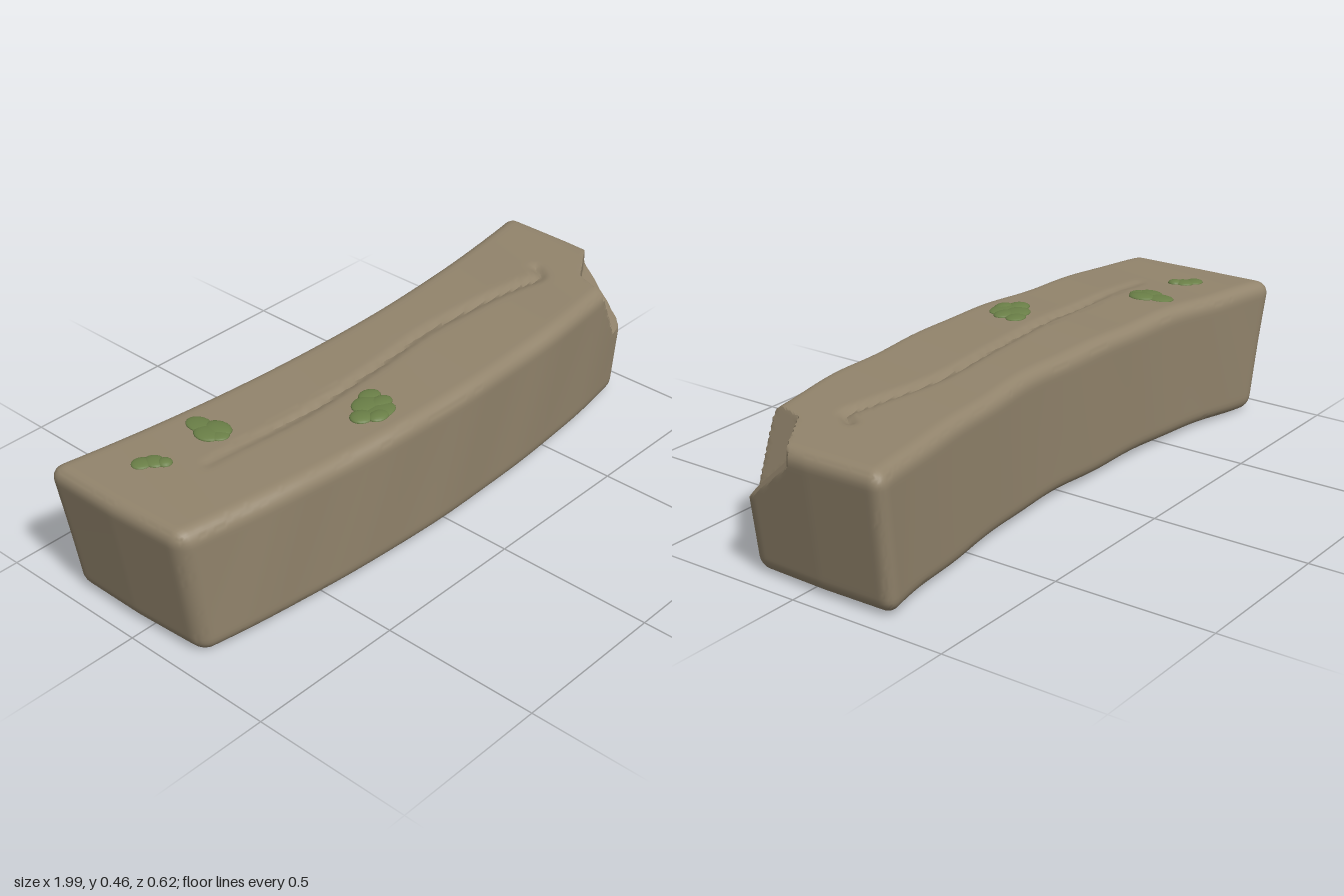
import * as THREE from 'three';
import { toCreasedNormals } from 'three/addons/utils/BufferGeometryUtils.js';

const LENGTH = 2, HEIGHT = 0.43, DEPTH = 0.52, EDGE = 0.045;

// gentle bow along the length, slight crown, and hand-hewn waviness
const bow = (x) => 0.05 - 0.108 * x * x;
const crown = (x) => 0.014 * (1 - x * x);
const wave = (x, y, z) =>
  0.0022 * (Math.sin(9 * x + 5 * z + 1) + Math.sin(17 * x - 7 * y + 3 * z) * 0.7);

// crack running along the top
const crack = new THREE.SplineCurve([
  [-0.7, 0.015], [-0.5, 0.03], [-0.25, 0.037], [0, 0.02], [0.25, -0.003],
  [0.45, 0.002], [0.62, 0.022], [0.72, 0.035], [0.76, -0.01],
].map(([x, z]) => new THREE.Vector2(x, z))).getPoints(120);

function crackDepth(x, z) {
  let d = Infinity;
  for (const p of crack) d = Math.min(d, Math.hypot(p.x - x, p.y - z));
  const fade = THREE.MathUtils.smoothstep(x, -0.75, -0.3);
  return (0.005 + 0.008 * fade) * Math.exp(-((d / 0.016) ** 2));
}

// three planes meeting in the broken corner
const V = (x, y, z) => new THREE.Vector3(x, y, z);
const chipInner = V(0.865, 0.36, 0.09), chipTop = V(0.82, 0.43, 0.12);
const chipEnd = V(0.995, 0.38, 0.007), chipFront = V(0.88, 0.245, 0.21);
const chipPlanes = [[chipTop, chipFront], [chipTop, chipEnd], [chipEnd, chipFront]].map(([a, b]) => {
  const plane = new THREE.Plane().setFromCoplanarPoints(chipInner, a, b);
  return plane.distanceToPoint(V(1, 0.43, 0.2)) < 0 ? plane.negate() : plane;
});
const chipCore = V(0.7, 0.2, -0.05);

// pull points in the broken corner back onto the break faces
function cutChip(p) {
  let t = 0;
  for (const plane of chipPlanes) {
    const outside = plane.distanceToPoint(p), inside = plane.distanceToPoint(chipCore);
    if (outside <= 0) return;
    t = Math.max(t, inside / (inside - outside));
  }
  p.lerpVectors(chipCore, p.clone(), t);
}

// shallow round sockets on the underside
function cutSocket(p, cx, cz, radius, depth) {
  const dx = p.x - cx, dz = p.z - cz;
  const r = Math.hypot(dx, dz);
  if (Math.abs(r - radius) < 0.007) {
    p.x = cx + dx * radius / r;
    p.z = cz + dz * radius / r;
  } else if (r < radius) {
    p.y += depth * (1 - (r / radius) ** 2);
  }
}

function makeStone() {
  const geometry = new THREE.BoxGeometry(LENGTH, HEIGHT, DEPTH, 160, 34, 42);
  geometry.deleteAttribute('uv');
  const half = V(LENGTH / 2 - EDGE, HEIGHT / 2 - EDGE, DEPTH / 2 - EDGE);
  const pos = geometry.attributes.position;
  const p = V(0, 0, 0), core = V(0, 0, 0);
  for (let i = 0; i < pos.count; i++) {
    p.fromBufferAttribute(pos, i);
    // rounded edges
    core.copy(p).clamp(half.clone().negate(), half);
    p.sub(core).setLength(EDGE).add(core);
    const v = p.y / HEIGHT + 0.5;
    const onTop = v > 0.9999, onBottom = v < 0.0001;
    // taper towards the base, then bow
    const x = p.x * (0.935 + 0.065 * v) - Math.sign(p.x) * Math.max(0, p.z) * 0.05 * Math.abs(p.x) ** 6;
    const z = p.z * (0.96 + 0.04 * v) + bow(x);
    const w = wave(x, p.y, z);
    p.set(x, 0.004 + v * HEIGHT + crown(x) + w * 0.8, z + w);
    if (onTop) p.y -= crackDepth(p.x, p.z);
    if (onBottom) for (const side of [-1, 1]) cutSocket(p, side * 0.57, 0.04, 0.15, 0.08);
    cutChip(p);
    pos.setXYZ(i, p.x, p.y, p.z);
  }
  return toCreasedNormals(geometry, 0.5);
}

// moss patches: x, z, radius along x, radius along z of each flat tuft
const mossPatches = {
  mossSmall: [[-0.82, -0.12, 0.03, 0.028], [-0.79, -0.1, 0.028, 0.032], [-0.775, -0.075, 0.022, 0.022]],
  mossMiddle: [[-0.59, -0.135, 0.034, 0.045], [-0.605, -0.085, 0.038, 0.045],
    [-0.57, -0.08, 0.034, 0.045], [-0.59, -0.055, 0.03, 0.03]],
  mossLarge: [[-0.165, 0.118, 0.036, 0.03], [-0.205, 0.145, 0.05, 0.042], [-0.26, 0.175, 0.036, 0.034],
    [-0.205, 0.195, 0.055, 0.036], [-0.17, 0.165, 0.04, 0.03], [-0.225, 0.208, 0.035, 0.027]],
};

export function createModel() {
  const stone = new THREE.MeshStandardMaterial({ color: 0x92846c });
  stone.name = 'stone';
  const moss = new THREE.MeshStandardMaterial({ color: 0x6a7f47 });
  moss.name = 'moss';

  const model = new THREE.Group();
  model.name = 'curvedStone';
  const block = new THREE.Mesh(makeStone(), stone);
  block.name = 'stoneBlock';
  model.add(block);

  const tuft = new THREE.SphereGeometry(1, 18, 10);
  for (const [name, tufts] of Object.entries(mossPatches)) {
    const patch = new THREE.Group();
    patch.name = name;
    tufts.forEach(([x, z, rx, rz], i) => {
      const mesh = new THREE.Mesh(tuft, moss);
      mesh.name = 'mossTuft';
      mesh.position.set(x, 0.434 + crown(x) + 0.8 * wave(x, 0.215, z), z);
      mesh.scale.set(rx, 0.008 + 0.0015 * (i % 3), rz);
      patch.add(mesh);
    });
    model.add(patch);
  }
  return model;
}
